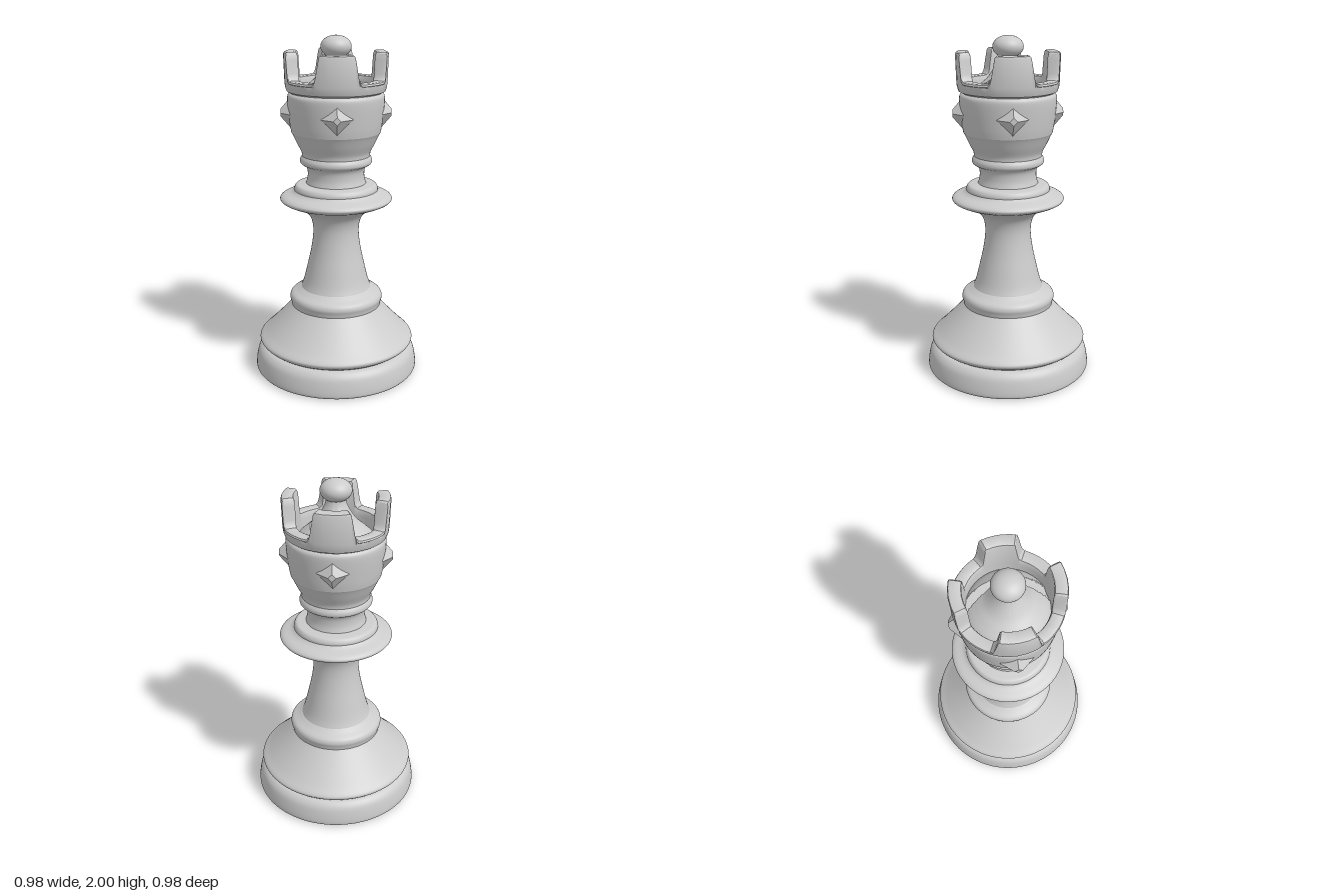
import * as THREE from 'three';
import { toCreasedNormals } from 'three/addons/utils/BufferGeometryUtils.js';

const material = new THREE.MeshStandardMaterial({ color: 0xcccccc, side: THREE.DoubleSide });
const flatMaterial = new THREE.MeshStandardMaterial({ color: 0xcccccc, flatShading: true });

const toPoints = (pairs) => pairs.map(([r, y]) => new THREE.Vector2(r, y));
const smooth = (pairs, perSpan = 5) =>
  new THREE.SplineCurve(toPoints(pairs)).getPoints((pairs.length - 1) * perSpan);

function add(parent, name, geometry, mat = material) {
  const mesh = new THREE.Mesh(geometry, mat);
  mesh.name = name;
  parent.add(mesh);
  return mesh;
}

// Turned sections, bottom to top, as [radius, height]; crisp seams fall between them
const turned = {
  foot: [[0.345, 0], [0.46, 0], [0.486, 0.008], [0.491, 0.03], [0.484, 0.08], [0.472, 0.12], [0.45, 0.146], [0.425, 0.155]],
  skirt: [[0.425, 0.155], [0.45, 0.172], [0.464, 0.19], [0.458, 0.208], [0.42, 0.243], [0.35, 0.315], [0.29, 0.38], [0.268, 0.405]],
  skirtRing: [[0.268, 0.405], [0.272, 0.425], [0.278, 0.45], [0.268, 0.475], [0.235, 0.496], [0.208, 0.515]],
  stem: [[0.208, 0.515], [0.192, 0.56], [0.17, 0.65], [0.148, 0.75], [0.136, 0.84], [0.139, 0.91], [0.162, 0.965], [0.215, 1.005], [0.29, 1.035]],
  collar: [[0.29, 1.035], [0.32, 1.05], [0.328, 1.066], [0.31, 1.083], [0.265, 1.1], [0.245, 1.115]],
  collarStep: [[0.245, 1.115], [0.243, 1.13], [0.23, 1.147], [0.2, 1.152], [0.175, 1.155]],
  neck: [[0.175, 1.155], [0.166, 1.19], [0.166, 1.23], [0.176, 1.255], [0.195, 1.266]],
  neckRing: [[0.195, 1.266], [0.208, 1.278], [0.208, 1.298], [0.197, 1.318]],
  cup: [[0.197, 1.318], [0.202, 1.345], [0.225, 1.39], [0.247, 1.437], [0.257, 1.455]],
  headBand: [[0.257, 1.455], [0.265, 1.5], [0.274, 1.58], [0.278, 1.64], [0.275, 1.668], [0.262, 1.682]],
};

// Hollow underside: straight bore, small ledge, then a narrowing roof
const hollow = [[0.001, 0.5], [0.14, 0.44], [0.22, 0.36], [0.31, 0.24], [0.325, 0.16], [0.345, 0.14], [0.345, 0]];

// Merlon top height by angle from the merlon's middle (an eighth of the circle)
const MERLON = [[0, 1.91], [0.17, 1.91], [0.31, 1.912], [0.342, 1.903], [0.365, 1.87], [0.41, 1.795],
  [0.435, 1.772], [0.48, 1.759], [0.58, 1.757], [0.68, 1.757], [Math.PI / 4, 1.757]];

function battlementGeometry() {
  // one quarter: falling half, then the mirrored rising half
  const n = MERLON.length - 1;
  const quarter = [];
  for (let i = 0; i < n; i++) quarter.push(MERLON[i]);
  for (let i = n; i > 0; i--) quarter.push([Math.PI / 2 - MERLON[i][0], MERLON[i][1]]);

  // wall section: fixed lower points, upper points given as drop below the top
  const section = [[0.262, 1.682], [0.281, 1.692], [0.289, 1.715], [0.292, 1.74],
    [0.297, -0.014], [0.293, -0.004], [0.284, 0], [0.24, 0], [0.231, -0.004], [0.227, -0.014],
    [0.223, 1.72], [0.221, 1.63]];
  const segments = quarter.length * 4;
  const geo = new THREE.LatheGeometry(toPoints(section), segments);
  const pos = geo.attributes.position;
  for (let s = 0; s <= segments; s++) {
    const [a, top] = quarter[s % quarter.length];
    const angle = a + Math.floor(s / quarter.length) * Math.PI / 2;
    section.forEach(([r, y], j) => {
      pos.setXYZ(s * section.length + j, r * Math.sin(angle), y > 1 ? y : top + y, r * Math.cos(angle));
    });
  }
  return toCreasedNormals(geo, 0.6);
}

// Mound inside the crown, with a slanted slot cut into its +x side
function moundGeometry() {
  const profile = smooth([[0.228, 1.65], [0.205, 1.685], [0.165, 1.722], [0.12, 1.762],
    [0.085, 1.81], [0.06, 1.86], [0.052, 1.9]], 10);
  const geo = new THREE.LatheGeometry(profile, 128);
  const pos = geo.attributes.position;
  for (let i = 0; i < pos.count; i++) {
    const y = pos.getY(i);
    const slotFloor = 1.54 + 1.44 * pos.getX(i);
    if (y > slotFloor && y < slotFloor + 0.12) pos.setY(i, slotFloor);
  }
  return toCreasedNormals(geo, 0.6);
}

export function createModel() {
  const model = new THREE.Group();
  model.name = 'chessPiece';

  const body = new THREE.Group();
  body.name = 'body';
  model.add(body);
  for (const [name, profile] of Object.entries(turned)) {
    add(body, name, new THREE.LatheGeometry(smooth(profile), 80));
  }
  add(body, 'hollowUnderside', toCreasedNormals(new THREE.LatheGeometry(toPoints(hollow), 80), 0.5));

  const crown = new THREE.Group();
  crown.name = 'crown';
  model.add(crown);
  add(crown, 'battlements', battlementGeometry());
  add(crown, 'slottedMound', moundGeometry());
  const ball = add(crown, 'finialBall', new THREE.SphereGeometry(0.088, 48, 32));
  ball.scale.y = 0.72;
  ball.position.y = 2 - 0.088 * 0.72;

  // Four diamond studs around the head band
  const studGeometry = new THREE.CylinderGeometry(0.022, 0.09, 0.058, 4);
  studGeometry.rotateX(Math.PI / 2).translate(0, 1.565, 0.288);
  for (let i = 0; i < 4; i++) {
    add(model, 'stud', studGeometry, flatMaterial).rotation.y = i * Math.PI / 2;
  }
  return model;
}
